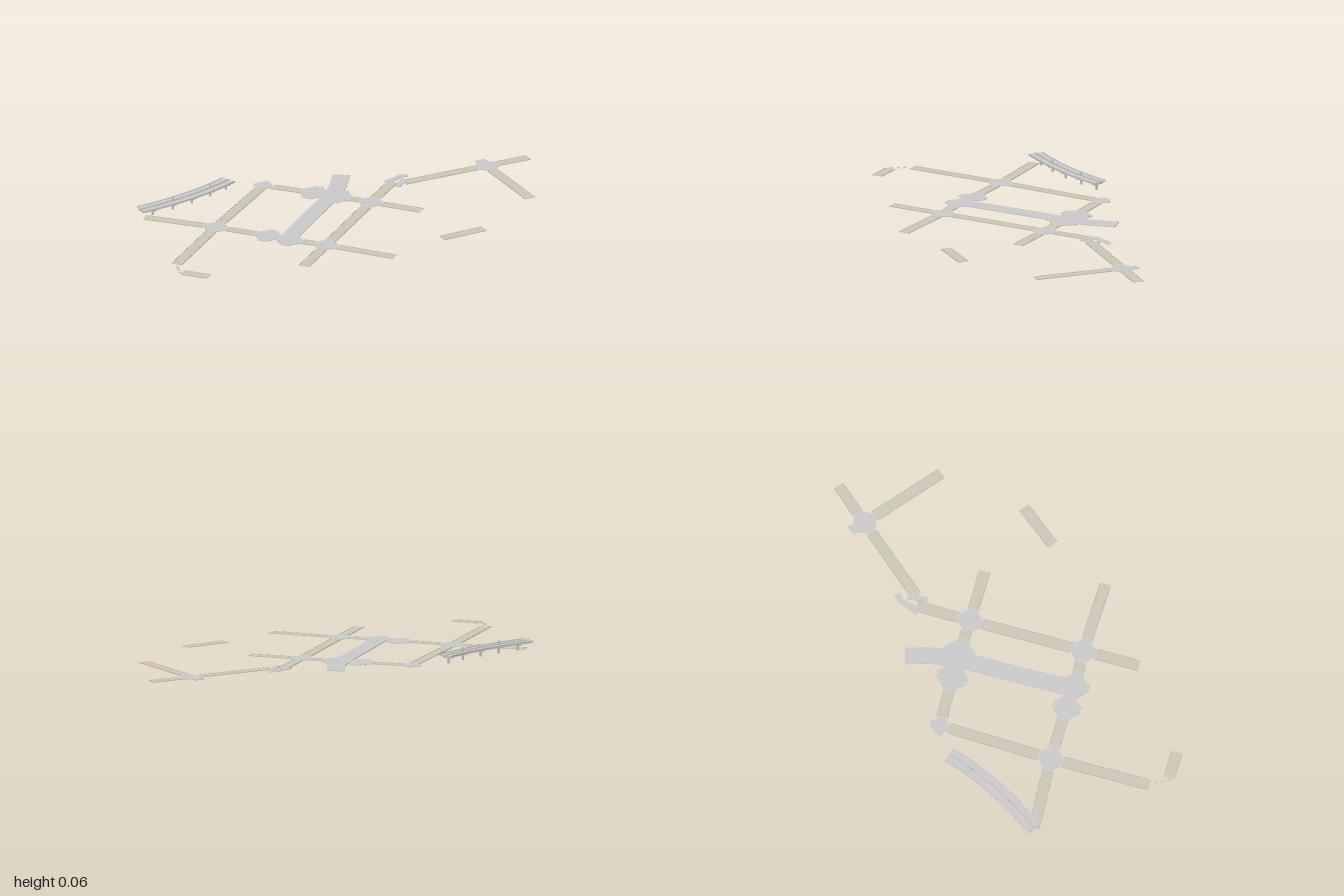
import * as THREE from 'three';

const grey = new THREE.MeshStandardMaterial({ color: 0xcccccc, flatShading: true });
const tan = new THREE.MeshStandardMaterial({ color: 0xcdc9b9, flatShading: true });
const kerb = new THREE.MeshStandardMaterial({ color: 0xbfb28a, flatShading: true });

// Sweep a rectangular section (sideways o0..o1, height y0..y1) along a path on the ground plan
function sweep(path, o0, o1, y0, y1, steps) {
  const pos = [], idx = [];
  for (let i = 0; i <= steps; i++) {
    const p = path.getPointAt(i / steps), t = path.getTangentAt(i / steps);
    for (const [o, y] of [[o0, y0], [o1, y0], [o1, y1], [o0, y1]]) pos.push(p.x - t.z * o, y, p.z + t.x * o);
  }
  for (let i = 0; i < steps; i++) {
    for (let k = 0; k < 4; k++) {
      const a = i * 4 + k, d = i * 4 + (k + 1) % 4;
      idx.push(a, a + 4, d + 4, a, d + 4, d);
    }
  }
  const e = steps * 4;
  idx.push(0, 1, 2, 0, 2, 3, e + 3, e + 2, e + 1, e + 3, e + 1, e);
  const g = new THREE.BufferGeometry();
  g.setAttribute('position', new THREE.Float32BufferAttribute(pos, 3));
  g.setIndex(idx);
  const flat = g.toNonIndexed();
  flat.computeVertexNormals();
  return flat;
}

// Flat plate from a plan outline given as [x, z] pairs
function plate(points, top) {
  const shape = new THREE.Shape(points.map(([x, z]) => new THREE.Vector2(x, z)));
  const g = new THREE.ExtrudeGeometry(shape, { depth: top, bevelEnabled: false });
  return g.rotateX(Math.PI / 2).translate(0, top, 0);
}

const v = ([x, z]) => new THREE.Vector3(x, 0, z);

export function createModel() {
  const model = new THREE.Group();
  const add = (parent, name, geometry, material = grey) => {
    const m = new THREE.Mesh(geometry, material);
    m.name = name;
    parent.add(m);
    return m;
  };

  // Straight road: grey bed, two lanes and kerb lines, cut back where it meets a junction
  const road = (a, b, cutA = 0, cutB = 0) => {
    const A = v(a), B = v(b), dir = B.clone().sub(A).normalize();
    A.addScaledVector(dir, cutA);
    B.addScaledVector(dir, -cutB);
    const line = new THREE.LineCurve3(A, B), g = new THREE.Group();
    g.name = 'road';
    add(g, 'roadBed', sweep(line, -0.027, 0.027, 0, 0.0015, 1));
    add(g, 'lanes', sweep(line, -0.021, 0.021, 0.0015, 0.0022, 1), tan);
    add(g, 'leftKerb', sweep(line, -0.027, -0.0245, 0.0015, 0.0025, 1), kerb);
    add(g, 'rightKerb', sweep(line, 0.0245, 0.027, 0.0015, 0.0025, 1), kerb);
    model.add(g);
  };

  // Crossroads plate: four arms with notched corners
  const junction = ([x, z], turn, size = 1) => {
    const pts = [];
    for (let k = 0; k < 4; k++) {
      const c = Math.cos(k * Math.PI / 2) * size, s = Math.sin(k * Math.PI / 2) * size;
      for (const [px, pz] of [[0.064, -0.02], [0.064, 0.02], [0.053, 0.02], [0.05, 0.029], [0.044, 0.031],
        [0.031, 0.044], [0.029, 0.05], [0.02, 0.053]]) pts.push([c * px - s * pz, s * px + c * pz]);
    }
    const m = add(model, 'junction', plate(pts, 0.003));
    m.position.set(x, 0, z);
    m.rotation.y = turn;
  };

  // Street grid
  const J1 = [-0.67, -0.06], J2 = [-0.22, 0.29], J3 = [0.125, -0.155], J4 = [-0.315, -0.487], J5 = [0.775, -0.435];
  const W1 = [-0.458, 0.107], W2 = [-0.37, 0.186], N1 = [-0.11, -0.34], N2 = [-0.008, -0.262];
  const cut = 0.06;
  for (const [a, b] of [[J1, W1], [W2, J2], [N2, J3], [J2, J3]]) road(a, b, cut, cut);
  for (const b of [J1, N1]) road(J4, b, 0.045, cut);
  for (const [a, b] of [[J1, [-0.965, -0.265]], [J1, [-0.97, 0.325]], [J2, [0.055, 0.515]], [J2, [-0.39, 0.508]],
    [J3, [0.33, 0.005]], [J3, [0.29, -0.365]], [J5, [0.34, -0.345]], [J5, [0.995, -0.48]], [J5, [0.87, 0]]]) road(a, b, cut);
  road([0.335, 0.355], [0.56, 0.3]);
  road([-0.97, 0.43], [-0.865, 0.51]);

  const gridTurn = -0.66;
  for (const j of [J1, J2, J3]) junction(j, gridTurn);
  junction(J4, gridTurn, 0.75);
  junction(J5, 0.2);
  for (const j of [W1, W2]) junction(j, gridTurn, 1.08);
  for (const j of [N1, N2]) junction(j, gridTurn, 1.18);

  // Short stub and broken corner pieces
  add(model, 'roadStub', plate([[0.735, -0.505], [0.785, -0.518], [0.79, -0.485], [0.78, -0.47], [0.755, -0.47]], 0.003));
  add(model, 'outerCorner', plate([[0.25, -0.385], [0.31, -0.417], [0.34, -0.438], [0.382, -0.438], [0.382, -0.41],
    [0.345, -0.408], [0.31, -0.38], [0.27, -0.36]], 0.003));
  add(model, 'innerCorner', plate([[0.34, -0.395], [0.365, -0.37], [0.305, -0.295], [0.287, -0.31]], 0.003));
  for (const [x, z] of [[-0.975, 0.36], [-0.978, 0.39], [-0.982, 0.425], [-0.972, 0.45]]) {
    add(model, 'pavementPiece', new THREE.BoxGeometry(0.014, 0.003, 0.014).translate(x, 0.0015, z));
  }

  // Wide avenue that bends at its north end
  const avenue = new THREE.CatmullRomCurve3(
    [[-0.405, 0.207], [-0.22, -0.04], [-0.05, -0.265], [0.02, -0.375], [0.075, -0.51]].map(v));
  add(model, 'avenue', sweep(avenue, -0.042, 0.042, 0, 0.0035, 32));

  // Elevated road: twin decks, girders, rails and piers
  const viaduct = new THREE.Group();
  viaduct.name = 'viaduct';
  model.add(viaduct);
  const bend = new THREE.QuadraticBezierCurve3(v([-0.983, -0.27]), v([-0.69, -0.355]), v([-0.482, -0.508]));
  for (const s of [-1, 1]) {
    const side = (name, a, b, y0, y1) =>
      add(viaduct, name, sweep(bend, Math.min(s * a, s * b), Math.max(s * a, s * b), y0, y1, 24));
    side('deck', 0.002, 0.037, 0.037, 0.042);
    side('girder', 0.006, 0.022, 0.03, 0.037);
    side('outerRail', 0.035, 0.037, 0.042, 0.046);
    side('innerRail', 0.002, 0.0035, 0.042, 0.046);
  }
  [0.12, 0.33, 0.54, 0.76, 0.96].forEach((t, i) => {
    const p = bend.getPointAt(t), d = bend.getTangentAt(t);
    const pier = new THREE.Group();
    pier.name = 'pier';
    pier.position.copy(p);
    pier.rotation.y = -Math.atan2(d.z, d.x);
    add(pier, 'column', new THREE.BoxGeometry(0.009, 0.027, 0.009).translate(0, 0.0135, 0));
    add(pier, 'crossbeam', new THREE.BoxGeometry(0.012, 0.006, 0.05).translate(0, 0.029, 0));
    if (i % 2) add(pier, 'mast', new THREE.BoxGeometry(0.005, 0.026, 0.005).translate(0, 0.05, 0));
    viaduct.add(pier);
  });

  return model;
}
